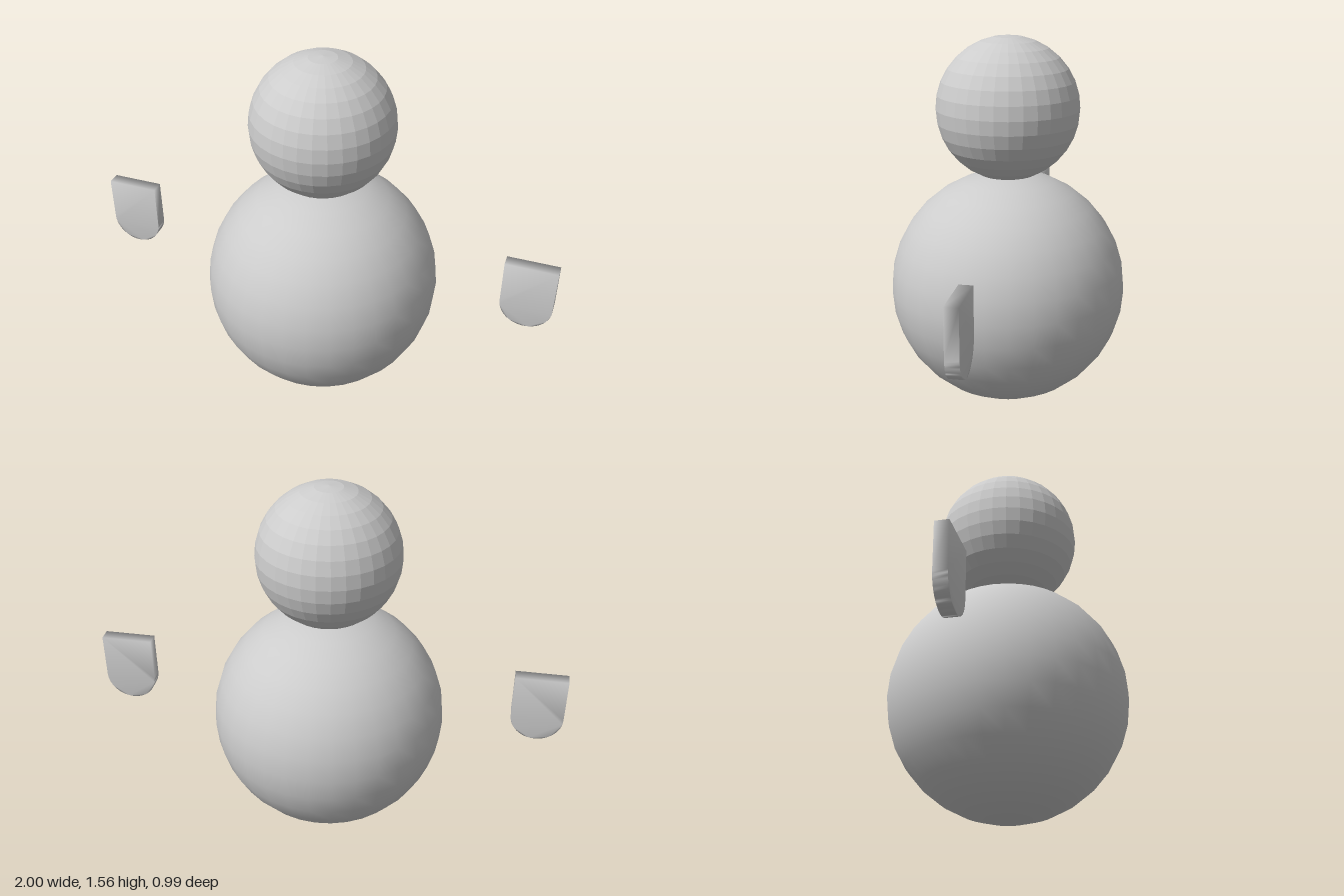
import * as THREE from 'three';
import { mergeVertices } from 'three/addons/utils/BufferGeometryUtils.js';

export function createModel() {
  const group = new THREE.Group();
  const grey = new THREE.MeshStandardMaterial({ color: 0xcccccc });
  grey.name = 'plain grey';
  const facetedGrey = grey.clone();
  facetedGrey.name = 'faceted grey';
  facetedGrey.flatShading = true;

  const add = (name, geometry, material, x, y) => {
    const mesh = new THREE.Mesh(geometry, material);
    mesh.name = name;
    mesh.position.set(x, y, 0);
    group.add(mesh);
  };

  // Smooth round body with a faceted head sunk slightly into it
  add('body', new THREE.SphereGeometry(0.497, 32, 16), grey, 0, 0.497);
  add('head', new THREE.SphereGeometry(0.297, 32, 16), facetedGrey, 0, 1.26);

  // Floating hand: a thin slab, square above and half-round below
  const r = 0.109, top = 0.191, depth = 0.054;
  const outline = new THREE.Shape();
  outline.moveTo(r, top);
  outline.lineTo(-r, top);
  outline.lineTo(-r, 0);
  outline.absarc(0, 0, r, Math.PI, Math.PI * 2, false);
  outline.closePath();
  let hand = new THREE.ExtrudeGeometry(outline, { depth, bevelEnabled: false, curveSegments: 16 });
  hand.translate(0, 0, -depth / 2);

  // Share the corners so the normals blend softly over the edges
  hand.deleteAttribute('normal');
  hand.deleteAttribute('uv');
  hand = mergeVertices(hand, 1e-4);
  hand.computeVertexNormals();

  for (const [name, side] of [['leftHand', 1], ['rightHand', -1]]) {
    add(name, hand, grey, side * (1 - r), 0.584);
  }
  return group;
}
